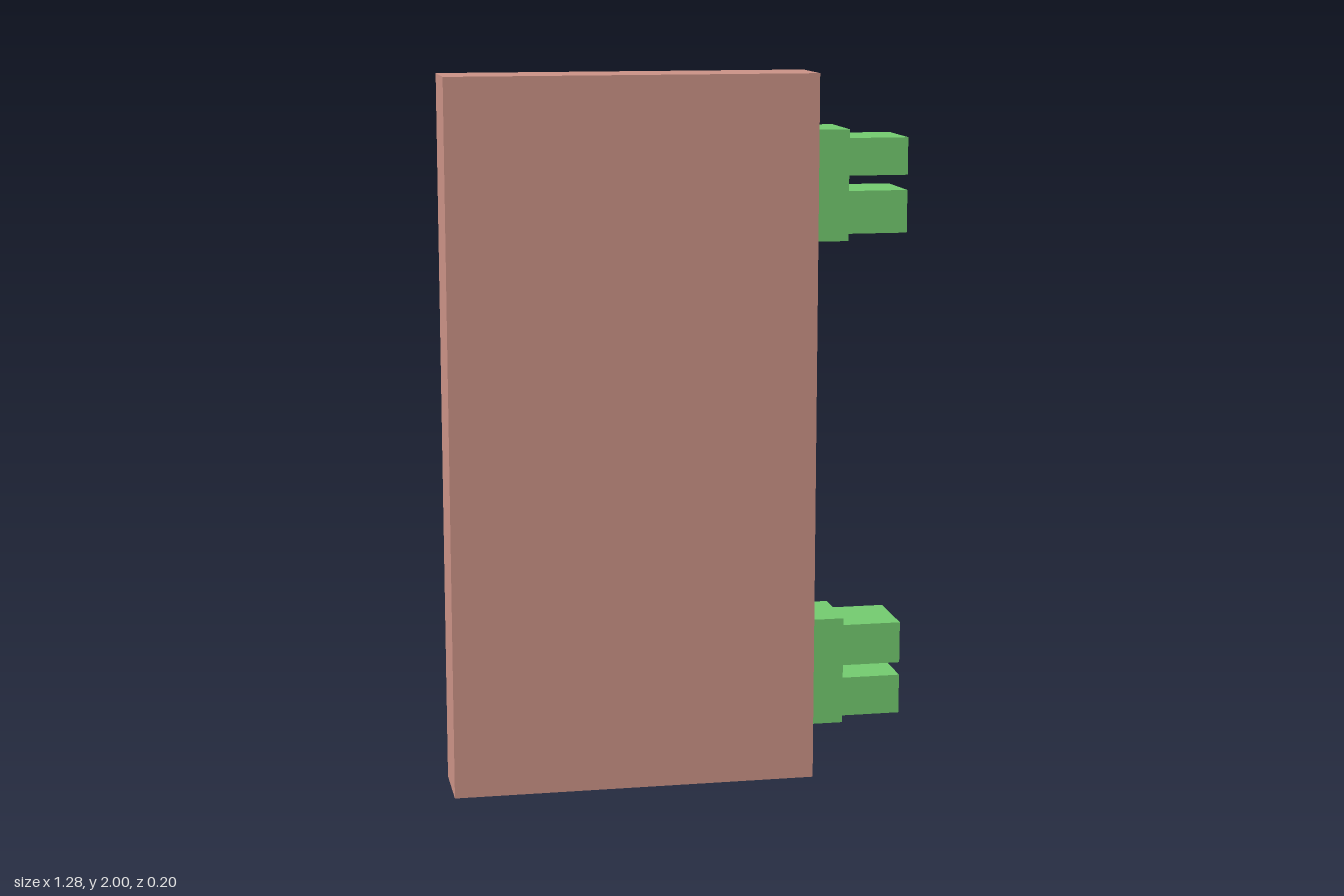
import * as THREE from 'three';

const DEPTH = 0.196;
const PANEL_EDGE = 0.387, PLATE_EDGE = 0.472, PRONG_END = 0.638;

// Forked hinge: a plate on the panel edge with two prongs, as one outline.
function makeHinge(name, bottom, top, lowerProng, upperProng, material) {
  const shape = new THREE.Shape();
  shape.moveTo(PANEL_EDGE, bottom);
  shape.lineTo(PLATE_EDGE, bottom);
  for (const [y0, y1] of [lowerProng, upperProng]) {
    shape.lineTo(PLATE_EDGE, y0);
    shape.lineTo(PRONG_END, y0);
    shape.lineTo(PRONG_END, y1);
    shape.lineTo(PLATE_EDGE, y1);
  }
  shape.lineTo(PLATE_EDGE, top);
  shape.lineTo(PANEL_EDGE, top);
  shape.closePath();
  const geometry = new THREE.ExtrudeGeometry(shape, { depth: DEPTH, bevelEnabled: false });
  geometry.translate(0, 0, -DEPTH / 2);
  const mesh = new THREE.Mesh(geometry, material);
  mesh.name = name;
  return mesh;
}

export function createModel() {
  const model = new THREE.Group();
  model.name = 'hingedPanel';
  const panelMaterial = new THREE.MeshStandardMaterial({ color: 0xc99185 });
  const hingeMaterial = new THREE.MeshStandardMaterial({ color: 0x72c96e });

  // Flat upright panel
  const left = -0.64;
  const panel = new THREE.Mesh(new THREE.BoxGeometry(PANEL_EDGE - left, 2, DEPTH), panelMaterial);
  panel.position.set((PANEL_EDGE + left) / 2, 1, 0);
  panel.name = 'panel';

  // Two hinges on the +x edge
  model.add(
    panel,
    makeHinge('upperHinge', 1.54, 1.847, [1.56, 1.678], [1.72, 1.823], hingeMaterial),
    makeHinge('lowerHinge', 0.158, 0.465, [0.178, 0.29], [0.327, 0.445], hingeMaterial)
  );
  return model;
}
